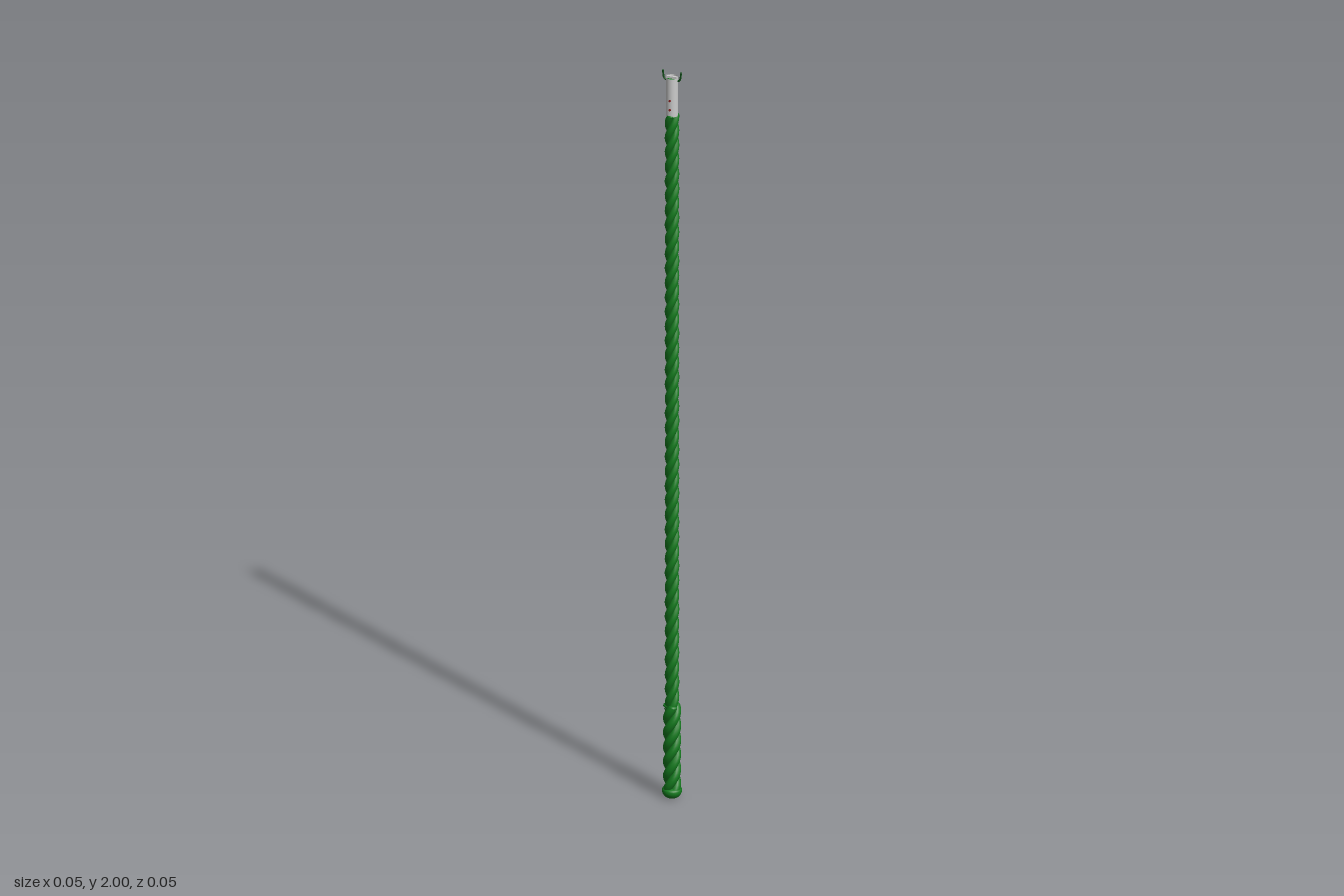
import * as THREE from 'three';

const green = new THREE.MeshStandardMaterial({ color: 0x147a1e });
const darkGreen = new THREE.MeshStandardMaterial({ color: 0x0c4a14 });
const grey = new THREE.MeshStandardMaterial({ color: 0xcccccc, side: THREE.DoubleSide });
const red = new THREE.MeshStandardMaterial({ color: 0x8a2020 });

const STRANDS = 3;
const PITCH = 0.12;

class Helix extends THREE.Curve {
  constructor(radius, y0, y1, phase) {
    super();
    Object.assign(this, { radius, y0, y1, phase });
  }
  getPoint(t, target = new THREE.Vector3()) {
    const y = THREE.MathUtils.lerp(this.y0, this.y1, t);
    const a = (y / PITCH) * Math.PI * 2 + this.phase;
    return target.set(this.radius * Math.sin(a), y, this.radius * Math.cos(a));
  }
}

function add(parent, name, geometry, material, x = 0, y = 0, z = 0) {
  const mesh = new THREE.Mesh(geometry, material);
  mesh.name = name;
  mesh.position.set(x, y, z);
  parent.add(mesh);
  return mesh;
}

// Twisted strands, laid side by side around the axis, with rounded ends
function twist(name, offset, thickness, y0, y1) {
  const group = new THREE.Group();
  group.name = name;
  const steps = Math.ceil(((y1 - y0) / PITCH) * 20);
  for (let i = 0; i < STRANDS; i++) {
    const curve = new Helix(offset, y0, y1, (i / STRANDS) * Math.PI * 2);
    add(group, 'strand', new THREE.TubeGeometry(curve, steps, thickness, 12), green);
    for (const t of [0, 1]) {
      const p = curve.getPoint(t);
      const end = add(group, 'strandEnd', new THREE.SphereGeometry(thickness, 12, 8), green, p.x, p.y, p.z);
      end.scale.y = 0.6;
    }
  }
  return group;
}

export function createModel() {
  const model = new THREE.Group();
  model.name = 'twistedRope';

  // Main rope and the thicker back splice at the lower end
  model.add(twist('rope', 0.009, 0.0093, 0.02, 1.88));
  model.add(twist('splice', 0.0115, 0.0115, 0.02, 0.25));

  // Crown knot closing the bottom
  const crown = [[0, 0], [0.016, 0.002], [0.023, 0.01], [0.025, 0.018], [0.021, 0.026], [0, 0.03]];
  add(model, 'crownKnot', new THREE.LatheGeometry(
    new THREE.SplineCurve(crown.map(([x, y]) => new THREE.Vector2(x, y))).getPoints(15)
      .map((p) => new THREE.Vector2(Math.max(0, p.x), p.y)), 24), green);

  // Open metal sleeve with the rope core inside
  add(model, 'sleeve', new THREE.CylinderGeometry(0.0155, 0.0155, 0.105, 28, 1, true), grey, 0, 1.9325);
  add(model, 'ropeCore', new THREE.CylinderGeometry(0.0145, 0.0145, 0.1, 24), green, 0, 1.931);

  // Rivets on the front of the sleeve
  for (const y of [1.9, 1.925]) {
    const rivet = add(model, 'rivet', new THREE.CylinderGeometry(0.003, 0.003, 0.002, 12), red, 0, y, 0.0158);
    rivet.rotation.x = Math.PI / 2;
  }

  // Cross bar and the two upturned prongs
  add(model, 'crossBar', new THREE.BoxGeometry(0.03, 0.006, 0.006), grey, 0, 1.984);
  for (const side of [-1, 1]) {
    const path = new THREE.CatmullRomCurve3(
      [[0.012, 1.975], [0.019, 1.977], [0.0225, 1.984], [0.024, 2]]
        .map(([x, y]) => new THREE.Vector3(side * x, y, 0)));
    add(model, 'prong', new THREE.TubeGeometry(path, 14, 0.0025, 8), darkGreen);
    const cap = add(model, 'prongTip', new THREE.CircleGeometry(0.0025, 8), darkGreen, side * 0.024, 2, 0);
    cap.rotation.x = -Math.PI / 2;
  }
  return model;
}
